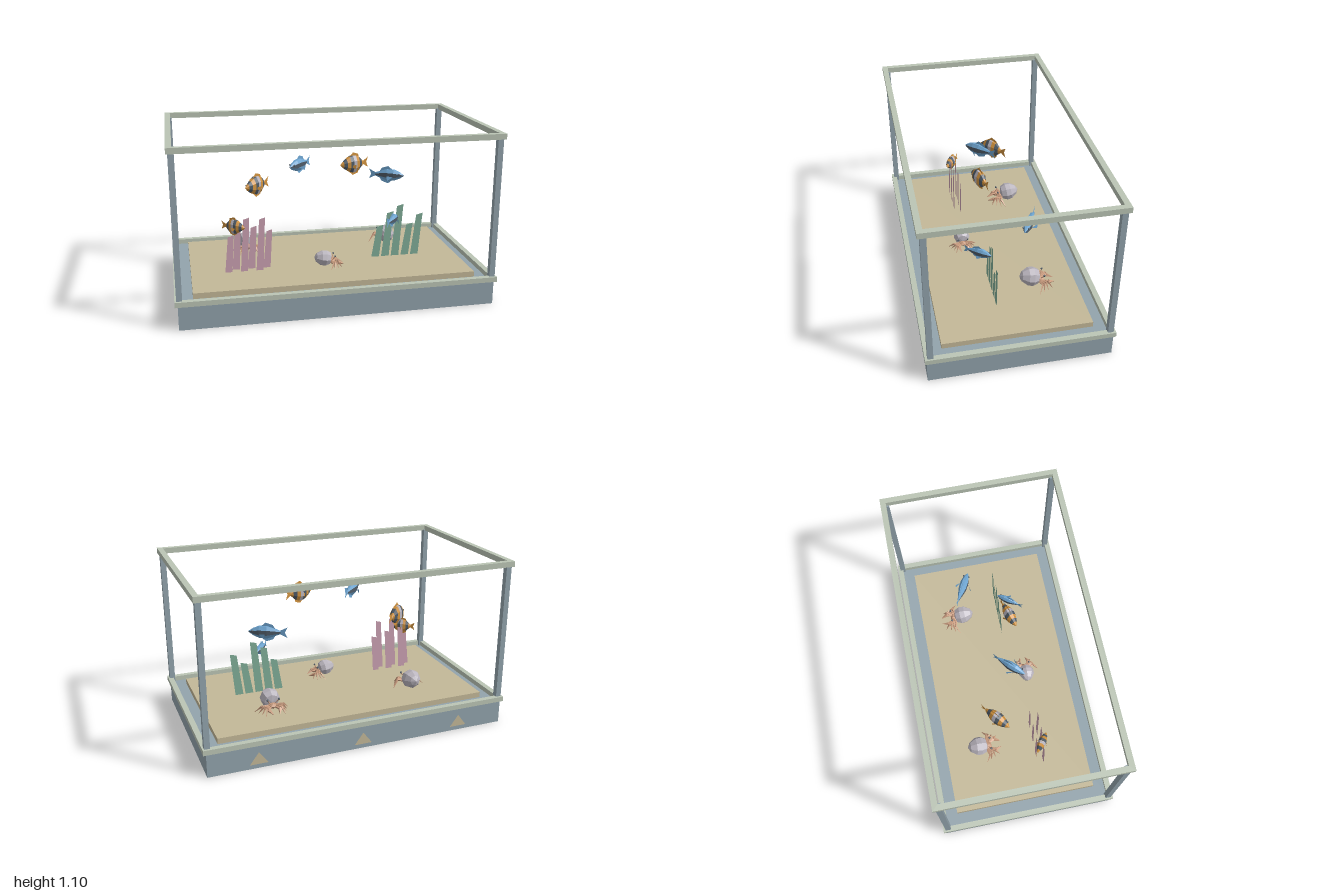
import * as THREE from 'three';

const colours = {
  slateBase: 0x92a3ac, sageRim: 0xbbc5b5, sand: 0xc3b898, pinkWeed: 0xcba1b2, greenWeed: 0x80ad98,
  fishBlue: 0x6fa6d2, fishOrange: 0xd0923f, fishDark: 0x4f5b67, shellGrey: 0xb9b4bd, crabPeach: 0xcb9d80,
};
const mats = {};
for (const [name, color] of Object.entries(colours)) {
  mats[name] = new THREE.MeshStandardMaterial({ color, side: THREE.DoubleSide, flatShading: true });
  mats[name].name = name;
}

function add(parent, name, geo, mat, x = 0, y = 0, z = 0) {
  const m = new THREE.Mesh(geo, mat);
  m.name = name;
  m.position.set(x, y, z);
  parent.add(m);
  return m;
}
const box = (p, name, w, h, d, mat, x, y, z) => add(p, name, new THREE.BoxGeometry(w, h, d), mat, x, y, z);

// Flat polygon in the XY plane
function plate(points) {
  return new THREE.ShapeGeometry(new THREE.Shape(points.map(([x, y]) => new THREE.Vector2(x, y))));
}

// Rectangular ring lying flat
function ringFrame(w, d, band, h) {
  const rect = (T, a, b) => {
    const s = new T();
    s.moveTo(-a, -b); s.lineTo(a, -b); s.lineTo(a, b); s.lineTo(-a, b); s.closePath();
    return s;
  };
  const shape = rect(THREE.Shape, w / 2, d / 2);
  shape.holes.push(rect(THREE.Path, w / 2 - band, d / 2 - band));
  return new THREE.ExtrudeGeometry(shape, { depth: h, bevelEnabled: false }).rotateX(-Math.PI / 2);
}

// Faceted loft along x; stations are [x, halfHeight, halfWidth]; pick(segment, side) gives a material index
function loft(stations, sides, pick) {
  const at = (i, j) => {
    const [x, h, w] = stations[i], a = ((j + 0.5) / sides) * Math.PI * 2;
    return [x, Math.sin(a) * h, -Math.cos(a) * w];
  };
  const buckets = [[], [], []];
  for (let i = 0; i < stations.length - 1; i++)
    for (let j = 0; j < sides; j++) {
      const a = at(i, j), b = at(i + 1, j), c = at(i + 1, j + 1), d = at(i, j + 1);
      buckets[pick(i, j)].push(...a, ...b, ...c, ...a, ...c, ...d);
    }
  const geo = new THREE.BufferGeometry();
  geo.setAttribute('position', new THREE.Float32BufferAttribute(buckets.flat(), 3));
  let start = 0;
  buckets.forEach((b, k) => { geo.addGroup(start, b.length / 3, k); start += b.length / 3; });
  geo.computeVertexNormals();
  return geo;
}

// Fish swimming from tail point to nose point, both [x, z]
function fish(parent, name, banded, nose, tail, y) {
  const g = new THREE.Group();
  g.name = name;
  const dx = nose[0] - tail[0], dz = nose[1] - tail[1];
  g.position.set((nose[0] + tail[0]) / 2, y, (nose[1] + tail[1]) / 2);
  g.rotation.y = Math.atan2(-dz, dx);
  g.scale.setScalar(Math.hypot(dx, dz) / 0.23);
  parent.add(g);

  const skin = banded ? mats.fishOrange : mats.fishBlue;
  const bandOrder = [0, 1, 0, 2, 1, 0, 1, 0];
  const stations = banded
    ? [[-0.075, 0.012, 0.007], [-0.055, 0.03, 0.016], [-0.03, 0.055, 0.028], [-0.005, 0.065, 0.035], [0.02, 0.066, 0.038],
      [0.045, 0.058, 0.036], [0.07, 0.042, 0.028], [0.092, 0.025, 0.018], [0.115, 0.003, 0.003]]
    : [[-0.075, 0.01, 0.006], [-0.035, 0.026, 0.016], [0.005, 0.04, 0.025], [0.05, 0.038, 0.025], [0.085, 0.024, 0.017], [0.115, 0.003, 0.003]];
  const pick = banded ? (i) => bandOrder[i] : (i, j) => (j === 3 || j === 7 ? 1 : 0);
  add(g, 'fishBody', loft(stations, 8, pick), [skin, mats.fishDark, mats.shellGrey]);

  // Forked tail, back fin and belly fin
  const t = banded ? 0.038 : 0.032, top = banded ? 0.058 : 0.034, tip = banded ? 0.083 : 0.058;
  add(g, 'tailFin', plate([[-0.07, 0.01], [-0.115, t], [-0.1, 0], [-0.115, -t], [-0.07, -0.01]]), skin);
  for (const s of [1, -1]) {
    add(g, s > 0 ? 'backFin' : 'bellyFin',
      plate([[0.05, s * (top - 0.008)], [0.012, s * tip], [-0.03, s * (tip - 0.014)], [-0.045, s * 0.02]]), skin);
    const fin = add(g, 'sideFin', plate([[0.01, 0], [-0.035, 0.012], [-0.03, -0.02]]), skin, 0.04, -0.01, s * 0.03);
    fin.rotation.y = s * 0.6;
    add(g, 'fishEye', new THREE.IcosahedronGeometry(0.006, 0), mats.fishDark, 0.088, 0.01, s * 0.017);
  }
}

// Tapered four-sided limb between two points
function limb(parent, name, a, b, r0, r1, mat) {
  const p = new THREE.Vector3(...a), q = new THREE.Vector3(...b), dir = q.clone().sub(p);
  const m = add(parent, name, new THREE.CylinderGeometry(r1, r0, dir.length(), 4), mat);
  m.position.copy(p).add(q).multiplyScalar(0.5);
  m.quaternion.setFromUnitVectors(new THREE.Vector3(0, 1, 0), dir.normalize());
}

// Hermit crab facing local +x, standing on the sand
function crab(parent, x, z, yaw, size) {
  const g = new THREE.Group();
  g.name = 'hermitCrab';
  g.position.set(x, 0.187, z);
  g.rotation.y = yaw;
  g.scale.setScalar(size);
  parent.add(g);
  const profile = [[0, -0.07], [0.03, -0.055], [0.053, -0.02], [0.056, 0.01], [0.042, 0.04], [0, 0.05]];
  const shell = add(g, 'shell', new THREE.LatheGeometry(profile.map(([r, h]) => new THREE.Vector2(r, h)), 8), mats.shellGrey, -0.025, 0.06, 0);
  shell.rotation.z = -Math.PI / 2 - 0.15;
  const head = add(g, 'crabHead', new THREE.IcosahedronGeometry(0.024, 0), mats.crabPeach, 0.025, 0.035, 0);
  head.scale.set(1.2, 0.8, 1.1);
  for (const s of [1, -1]) {
    for (let i = 0; i < 4; i++) {
      const kx = 0.03 + i * 0.012, fx = 0.005 + i * 0.028, kz = 0.062 - i * 0.007, fz = 0.098 - i * 0.014;
      limb(g, 'upperLeg', [0.015 + i * 0.006, 0.032, s * 0.015], [kx, 0.04, s * kz], 0.007, 0.006, mats.crabPeach);
      limb(g, 'lowerLeg', [kx, 0.04, s * kz], [fx, 0.002, s * fz], 0.007, 0.001, mats.crabPeach);
    }
    limb(g, 'clawArm', [0.035, 0.03, s * 0.015], [0.07, 0.03, s * 0.032], 0.007, 0.01, mats.crabPeach);
    limb(g, 'claw', [0.07, 0.03, s * 0.032], [0.108, 0.016, s * 0.018], 0.013, 0.001, mats.crabPeach);
    limb(g, 'eyeStalk', [0.03, 0.045, s * 0.012], [0.045, 0.076, s * 0.032], 0.003, 0.003, mats.crabPeach);
    add(g, 'crabEye', new THREE.IcosahedronGeometry(0.007, 0), mats.fishDark, 0.045, 0.078, s * 0.033);
  }
}

// Row of flat leaning blades: tops are their heights
function weeds(parent, name, mat, x0, pitch, width, lean, z, stagger, tops) {
  const g = new THREE.Group();
  g.name = name;
  parent.add(g);
  tops.forEach((top, i) => {
    const w = width / 2;
    add(g, 'weedBlade', plate([[-w, 0.18], [w, 0.18], [lean + w * 0.85, top], [lean - w * 0.8, top - 0.012]]),
      mat, x0 + i * pitch, 0, z + (i % 2 ? -stagger : stagger));
  });
}

export function createModel() {
  const model = new THREE.Group();
  model.name = 'aquarium';

  // Tank
  box(model, 'tankBase', 1.965, 0.15, 1.13, mats.slateBase, 0, 0.075, 0);
  add(model, 'lowerRim', ringFrame(2, 1.15, 0.035, 0.032), mats.sageRim, 0, 0.15, 0);
  add(model, 'upperRim', ringFrame(2, 1.15, 0.035, 0.035), mats.sageRim, 0, 1.065, 0);
  box(model, 'sandBed', 1.78, 0.037, 0.93, mats.sand, 0, 0.1675, 0);
  for (const sx of [1, -1])
    for (const sz of [1, -1])
      box(model, 'cornerPost', 0.035, 0.92, 0.035, mats.slateBase, sx * 0.972, 0.61, sz * 0.542);

  // Triangular plates on the back
  for (const x of [-0.67, 0, 0.67])
    add(model, 'backTriangle', plate([[-0.058, 0.028], [0.058, 0.028], [0, 0.105]]), mats.sand, x, 0, -0.568);

  weeds(model, 'pinkWeeds', mats.pinkWeed, -0.652, 0.05, 0.046, 0.02, 0.15, 0.02, [0.435, 0.49, 0.545, 0.475, 0.54, 0.445]);
  weeds(model, 'greenWeeds', mats.greenWeed, 0.338, 0.068, 0.054, 0.03, 0.08, 0, [0.408, 0.5, 0.545, 0.41, 0.477]);

  fish(model, 'bandedFish', true, [-0.51, -0.04], [-0.34, -0.187], 0.678);
  fish(model, 'bandedFish', true, [0.085, 0.125], [0.282, 0.06], 0.842);
  fish(model, 'bandedFish', true, [-0.545, 0.2], [-0.682, 0.1], 0.487);
  fish(model, 'blueFish', false, [-0.24, 0.11], [-0.08, -0.058], 0.84);
  fish(model, 'blueFish', false, [0.58, -0.1], [0.365, -0.215], 0.69);
  fish(model, 'blueFish', false, [0.485, 0.083], [0.37, 0.235], 0.464);

  crab(model, -0.01, 0.185, 0, 0.95);
  crab(model, -0.49, -0.21, -Math.PI / 2, 1.12);
  crab(model, 0.48, -0.205, Math.PI / 2, 1.12);

  return model;
}
